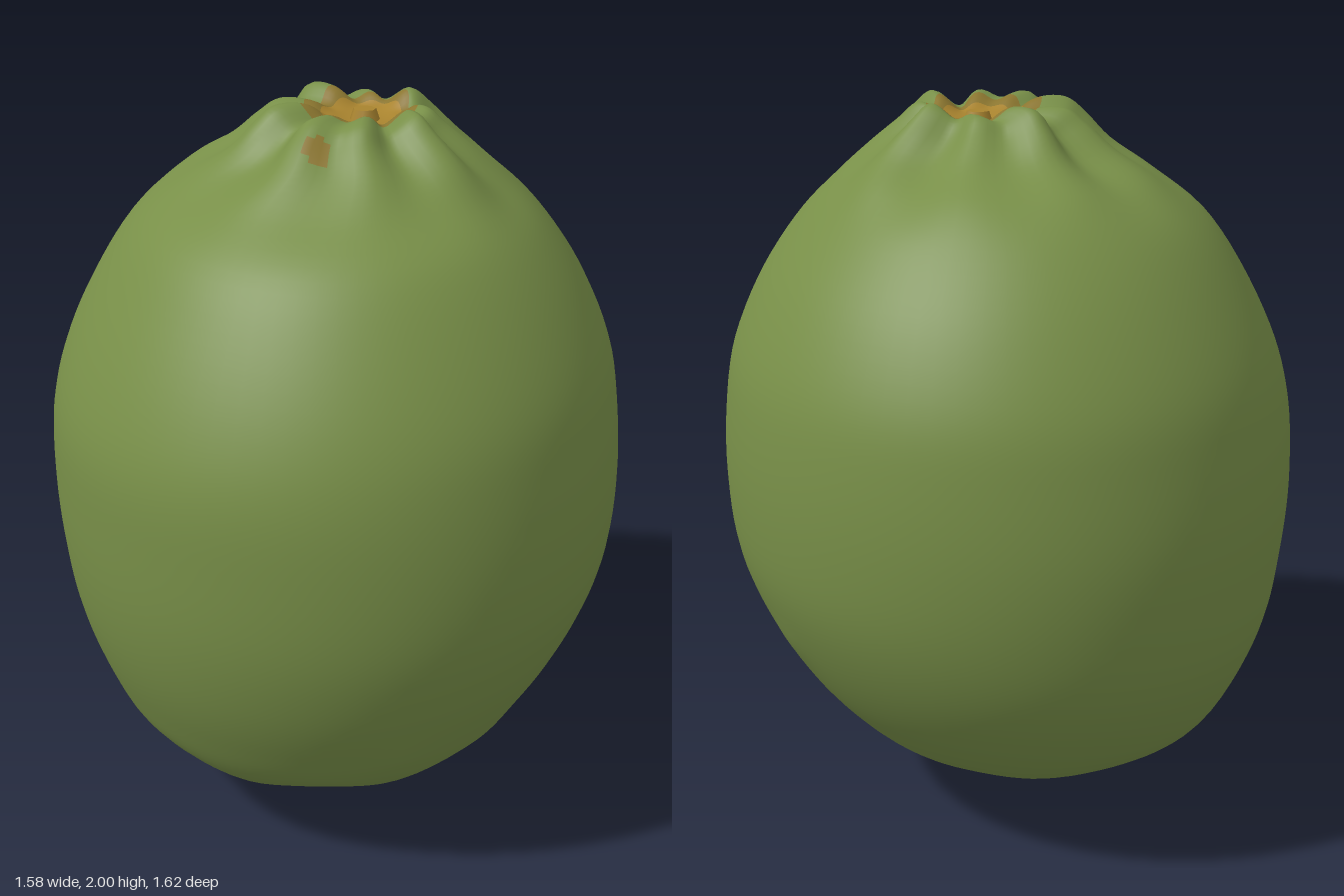
import * as THREE from 'three';

const green = new THREE.MeshStandardMaterial({ name: 'green peel', color: 0x788f48 });
const brown = new THREE.MeshStandardMaterial({ name: 'brown blemish', color: 0x8a752f });
const orange = new THREE.MeshStandardMaterial({ name: 'dry orange stem', color: 0xa8832e });

// Cross-sections from the bottom tip to the stem hollow: y, centre x, centre z, radius x, radius z
const sections = [
  [0, 0.04, 0, 0.002, 0.002],
  [0.02, 0.04, 0, 0.045, 0.04],
  [0.055, 0.035, 0, 0.085, 0.075],
  [0.088, 0.01, 0, 0.16, 0.14],
  [0.125, -0.07, -0.01, 0.28, 0.25],
  [0.18, -0.07, -0.01, 0.39, 0.4],
  [0.3, -0.065, -0.015, 0.535, 0.565],
  [0.45, -0.04, -0.015, 0.64, 0.67],
  [0.62, -0.02, -0.01, 0.72, 0.75],
  [0.8, -0.005, 0, 0.77, 0.795],
  [1.0, 0, 0, 0.788, 0.81],
  [1.2, 0, 0, 0.783, 0.793],
  [1.37, 0.01, 0, 0.742, 0.755],
  [1.55, 0.015, 0, 0.655, 0.667],
  [1.7, 0.015, 0, 0.545, 0.56],
  [1.8, 0.035, 0, 0.42, 0.44],
  [1.87, 0.03, 0.03, 0.31, 0.33],
  [1.93, 0.025, 0.03, 0.235, 0.25],
  [1.968, 0.03, 0.03, 0.185, 0.2],
  [1.968, 0.055, 0.035, 0.135, 0.135],
  [1.948, 0.065, 0.035, 0.095, 0.095],
  [1.935, 0.07, 0.035, 0.05, 0.05],
  [1.932, 0.07, 0.035, 0.002, 0.002],
];

const smooth = THREE.MathUtils.smoothstep;
const centres = new THREE.CatmullRomCurve3(sections.map(s => new THREE.Vector3(s[1], s[0], s[2])), false, 'catmullrom');
const radii = new THREE.CatmullRomCurve3(sections.map(s => new THREE.Vector3(s[3], 0, s[4])), false, 'catmullrom');

// Small knobs on the peel: x, y, z, width, height
const knobs = [[0.71, 0.6, 0.15, 0.06, 0.016], [-0.32, 0.42, 0.57, 0.08, 0.01], [0, 0.34, 0.58, 0.07, 0.008]];

function fruitPoint(t, a) {
  const c = centres.getPoint(t), r = radii.getPoint(t);
  const k = t * (sections.length - 1);
  // Uneven pleats gather round the stem and, more gently, round the tip
  const wave = 0.6 * Math.sin(9 * a + 0.5) + 0.4 * Math.sin(5 * a + 2.1 + k * 0.3);
  const crown = smooth(k, 14, 17.5) * (1 - smooth(k, 18.5, 20.5));
  const tip = smooth(k, 2, 3.5) * (1 - smooth(k, 4, 6.5));
  const skew = 1 - 0.033 * Math.sin(2 * a) * smooth(k, 4, 8) * (1 - smooth(k, 14, 17));
  const m = skew * (1 + 0.09 * crown * wave + 0.04 * tip * Math.sin(7 * a + 1));
  const p = new THREE.Vector3(
    c.x + r.x * m * Math.cos(a),
    c.y + 0.024 * crown * wave + 0.008 * tip * Math.sin(6 * a),
    c.z + r.z * m * Math.sin(a));
  for (const [x, y, z, w, h] of knobs) {
    const s = 1 + h * Math.exp(-p.distanceToSquared(new THREE.Vector3(x, y, z)) / (w * w));
    p.x *= s;
    p.z *= s;
  }
  return p;
}

function fruitGeometry(cols = 80, rows = 110) {
  const pos = [], faces = [[], [], []];
  for (let i = 0; i <= rows; i++) {
    for (let j = 0; j < cols; j++) pos.push(...fruitPoint(i / rows, j / cols * Math.PI * 2).toArray());
  }
  for (let i = 0; i < rows; i++) {
    const k = (i + 0.5) / rows * (sections.length - 1);
    for (let j = 0; j < cols; j++) {
      const n = (j + 1) % cols;
      const a = i * cols + j, b = i * cols + n, c = a + cols, d = b + cols;
      // Orange hollow, brown border and one brown spot beside the crown
      const spot = k > 14 && Math.hypot(pos[a * 3] + 0.2, pos[a * 3 + 2] - 0.16) < 0.035;
      const kind = k > 19.7 ? 2 : k > 18.9 || spot ? 1 : 0;
      faces[kind].push(a, c, b, b, c, d);
    }
  }
  const g = new THREE.BufferGeometry();
  g.setAttribute('position', new THREE.Float32BufferAttribute(pos, 3));
  g.setIndex(faces.flat());
  let start = 0;
  faces.forEach((f, i) => {
    g.addGroup(start, f.length, i);
    start += f.length;
  });
  g.computeVertexNormals();
  return g;
}

export function createModel() {
  const model = new THREE.Group();
  model.name = 'citrusFruit';

  const fruit = new THREE.Mesh(fruitGeometry(), [green, brown, orange]);
  fruit.name = 'peel';
  model.add(fruit);

  // Dry stem button in the hollow
  const stem = new THREE.Mesh(new THREE.CylinderGeometry(0.03, 0.042, 0.035, 7), orange);
  stem.name = 'stemButton';
  stem.position.set(0.07, 1.945, 0.035);
  model.add(stem);
  return model;
}
